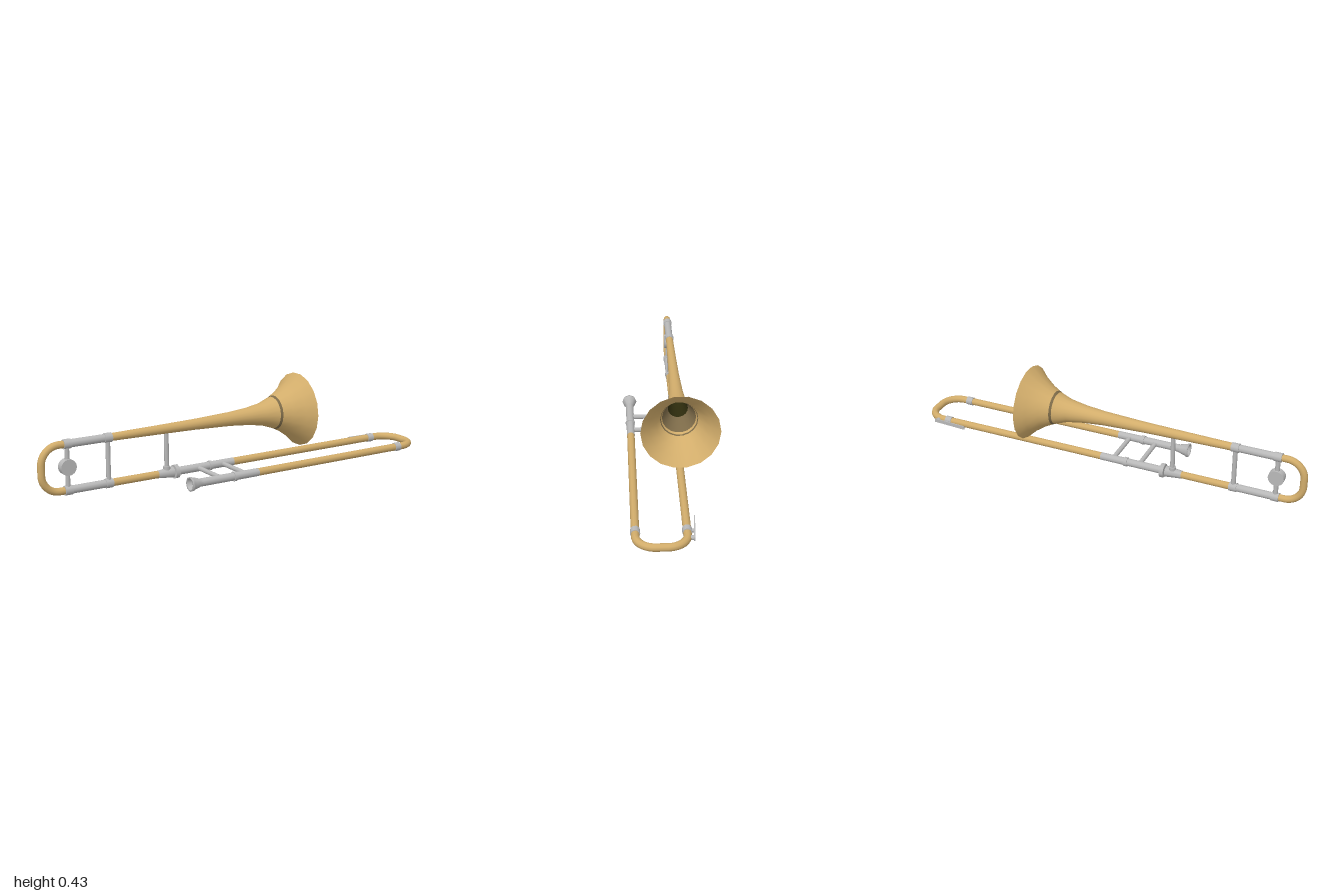
import * as THREE from 'three';

const mat = (name, color, side = THREE.FrontSide) => {
  const m = new THREE.MeshStandardMaterial({ color, side });
  m.name = name;
  return m;
};

export function createModel() {
  const root = new THREE.Group();
  root.name = 'slideHorn';
  const brass = mat('brass', 0xd2ad6b);
  const bellBrass = mat('bellBrass', 0xd2ad6b, THREE.DoubleSide);
  const silver = mat('silver', 0xb9b9b9);
  const cupSilver = mat('cupSilver', 0xb9b9b9, THREE.DoubleSide);
  const throatBrown = mat('throatBrown', 0x7c6a48, THREE.DoubleSide);
  const boreDark = mat('boreDark', 0x2c2a0c, THREE.DoubleSide);

  const LOW = 0.037, HIGH = 0.251;     // heights of the two runs
  const BACK = -0.038, FRONT = 0.181;  // depths of the two slide legs
  const V = (x, y, z) => new THREE.Vector3(x, y, z);

  const add = (name, geo, material) => {
    const m = new THREE.Mesh(geo, material);
    m.name = name;
    root.add(m);
    return m;
  };
  // straight rod from a to b, optionally tapered
  const rod = (name, a, b, r, material, sides = 10, r2 = r) => {
    const d = b.clone().sub(a);
    const m = add(name, new THREE.CylinderGeometry(r2, r, d.length(), sides), material);
    m.position.copy(a).addScaledVector(d, 0.5);
    m.quaternion.setFromUnitVectors(V(0, 1, 0), d.normalize());
    return m;
  };
  const along = (name, x0, x1, y, z, r, material, sides, r2) =>
    rod(name, V(x0, y, z), V(x1, y, z), r, material, sides, r2);
  // surface of revolution about the x axis from [x, radius] pairs
  const turned = (name, pts, y, z, sides, material) => {
    const g = new THREE.LatheGeometry(pts.map(([x, r]) => new THREE.Vector2(r, x)), sides);
    g.rotateZ(-Math.PI / 2);
    const m = add(name, g, material);
    m.position.set(0, y, z);
    return m;
  };
  // U bend: two legs joined by rounded corners
  const bend = (name, a, cornerA, cornerB, b, radius, r) => {
    const path = new THREE.CurvePath();
    const toward = (p, q) => p.clone().add(q.clone().sub(p).setLength(radius));
    const k = (p, q) => p.clone().lerp(q, 0.55);
    const corner = (p, c, q) => {
      const s = toward(c, p), e = toward(c, q);
      return [s, new THREE.CubicBezierCurve3(s, k(s, c), k(e, c), e), e];
    };
    const [s1, c1, e1] = corner(a, cornerA, cornerB);
    const [s2, c2, e2] = corner(cornerA, cornerB, b);
    path.add(new THREE.LineCurve3(a, s1));
    path.add(c1);
    path.add(new THREE.LineCurve3(e1, s2));
    path.add(c2);
    path.add(new THREE.LineCurve3(e2, b));
    add(name, new THREE.TubeGeometry(path, 48, r, 10), brass);
  };

  // bell with dark throat
  turned('bell', [[-0.64, 0.018], [-0.4, 0.022], [-0.2, 0.026], [0, 0.034], [0.1, 0.043],
    [0.18, 0.056], [0.245, 0.079], [0.3, 0.107], [0.35, 0.142], [0.392, 0.182]],
    HIGH, BACK, 18, bellBrass);
  turned('bellThroat', [[0.15, 0.047], [0.18, 0.053], [0.22, 0.067], [0.262, 0.0875]],
    HIGH, BACK, 18, throatBrown);
  turned('bellBore', [[0.02, 0], [0.02, 0.032], [0.1, 0.04], [0.15, 0.047]],
    HIGH, BACK, 18, boreDark);

  // tuning bend at the rear
  bend('tuningBend', V(-0.85, HIGH, BACK), V(-0.983, HIGH, BACK), V(-0.983, LOW, BACK),
    V(-0.85, LOW, BACK), 0.085, 0.017);

  // rear sleeves and their ferrules
  for (const y of [HIGH, LOW]) {
    along('rearSleeve', -0.87, -0.635, y, BACK, 0.0185, silver);
    for (const x of [-0.857, -0.655]) along('rearFerrule', x - 0.018, x + 0.018, y, BACK, 0.022, silver);
  }
  along('neckTube', -0.64, -0.38, LOW, BACK, 0.0175, brass);

  // upright braces and counterweight
  for (const x of [-0.857, -0.655, -0.352])
    rod('uprightBrace', V(x, LOW, BACK), V(x, HIGH - 0.01, BACK), 0.0115, silver, 8);
  rod('counterweight', V(-0.857, 0.145, BACK - 0.018), V(-0.857, 0.145, BACK + 0.018), 0.038, silver, 16);
  rod('braceCollar', V(-0.352, 0.045, BACK), V(-0.352, 0.07, BACK), 0.018, silver, 8);

  // joint between bell section and slide
  along('jointCone', -0.4, -0.32, LOW, BACK, 0.019, silver, 8, 0.027);
  along('jointNut', -0.315, -0.295, LOW, BACK, 0.034, silver, 8);

  // slide legs
  for (const z of [BACK, FRONT]) {
    along('innerSleeve', -0.3, 0.015, LOW, z, 0.019, silver);
    along('sleeveRing', -0.123, -0.107, LOW, z, 0.023, silver);
    along('slideTube', 0.01, 0.87, LOW, z, 0.018, brass);
    along('slideFerrule', 0.845, 0.878, LOW, z, 0.0215, silver);
  }
  for (const x of [-0.182, -0.046])
    rod('slideBrace', V(x, LOW, BACK), V(x, LOW, FRONT), 0.0115, silver, 8);
  bend('slideBend', V(0.86, LOW, BACK), V(0.982, LOW, BACK), V(0.982, LOW, FRONT),
    V(0.86, LOW, FRONT), 0.085, 0.018);

  // mouthpiece with hollow cup
  turned('mouthpiece', [[-0.29, 0.019], [-0.305, 0.02], [-0.33, 0.028], [-0.345, 0.031],
    [-0.347, 0.035], [-0.356, 0.035], [-0.356, 0.027], [-0.335, 0.021], [-0.315, 0]],
    LOW, FRONT, 8, cupSilver);

  // water key lever on the back leg
  const lever = add('waterKey', new THREE.BoxGeometry(0.175, 0.018, 0.005), silver);
  lever.position.set(0.842, LOW, -0.071);
  lever.rotation.y = -0.06;
  rod('waterKeyPivot', V(0.862, LOW, BACK), V(0.862, LOW, -0.07), 0.008, silver, 8);
  rod('waterKeyCap', V(0.915, LOW, BACK), V(0.915, LOW, -0.066), 0.011, silver, 8);

  return root;
}
